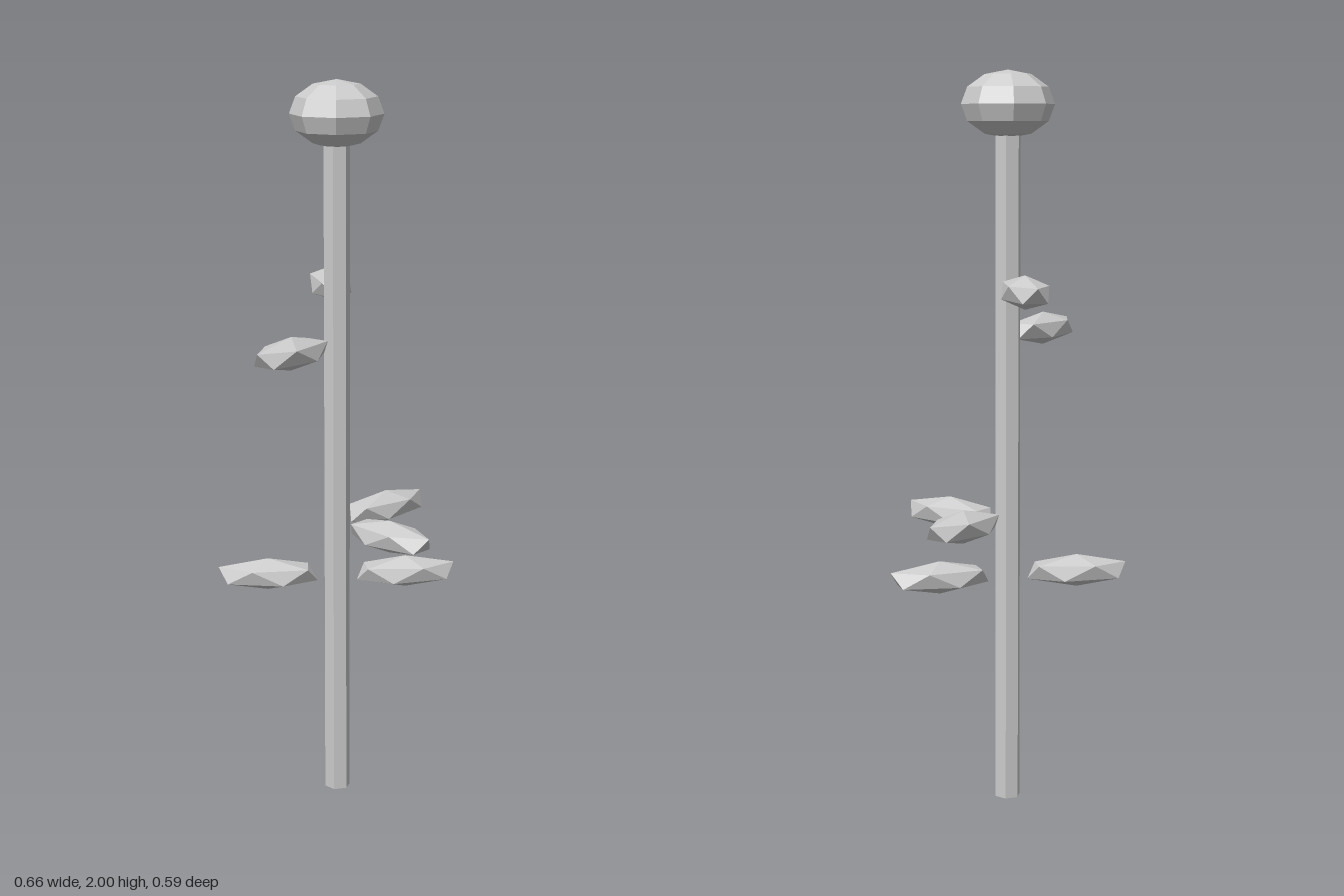
import * as THREE from 'three';

const material = new THREE.MeshStandardMaterial({ color: 0xcccccc, flatShading: true });

function part(name, geometry, parent) {
  const mesh = new THREE.Mesh(geometry, material);
  mesh.name = name;
  parent.add(mesh);
  return mesh;
}

// Flattened icosahedron, one corner straight up, upper ring corner pointing along +x
function leafGeometry(halfLength, halfHeight, halfWidth) {
  const ring = 2 / Math.sqrt(5); // radius of the corner rings in a unit icosahedron
  const golden = (1 + Math.sqrt(5)) / 2;
  return new THREE.IcosahedronGeometry(1, 0)
    .rotateZ(Math.atan(1 / golden))
    .rotateY(Math.PI)
    .scale(halfLength / ring, halfHeight, halfWidth / ring);
}

export function createModel() {
  const model = new THREE.Group();
  model.name = 'flower';

  // Everything is arranged around the stem axis
  const plant = new THREE.Group();
  plant.name = 'plant';
  plant.position.set(-0.002, 0, -0.038);
  model.add(plant);

  // Six-sided stem
  const stemHeight = 1.87;
  part('stem', new THREE.CylinderGeometry(0.036, 0.036, stemHeight, 6), plant)
    .position.y = stemHeight / 2;

  // Squashed bud on top
  part('bud', new THREE.SphereGeometry(0.126, 8, 6).scale(1, 0.714, 1), plant)
    .position.y = 1.91;

  // Leaves: height and the direction (x, z) each one points in
  const leaves = [
    [0.636, 0.268, 0.19],
    [0.638, -0.243, -0.228],
    [0.785, 0.022, 0.328],
    [0.796, 0.33, -0.001],
    [1.297, -0.327, 0.043],
    [1.425, 0.208, -0.259],
  ];
  const geometry = leafGeometry(0.138, 0.045, 0.057);
  for (const [y, x, z] of leaves) {
    const angle = Math.atan2(z, x);
    const leaf = part('leaf', geometry, plant);
    leaf.position.set(0.193 * Math.cos(angle), y, 0.193 * Math.sin(angle));
    leaf.rotation.y = -angle;
  }

  return model;
}
